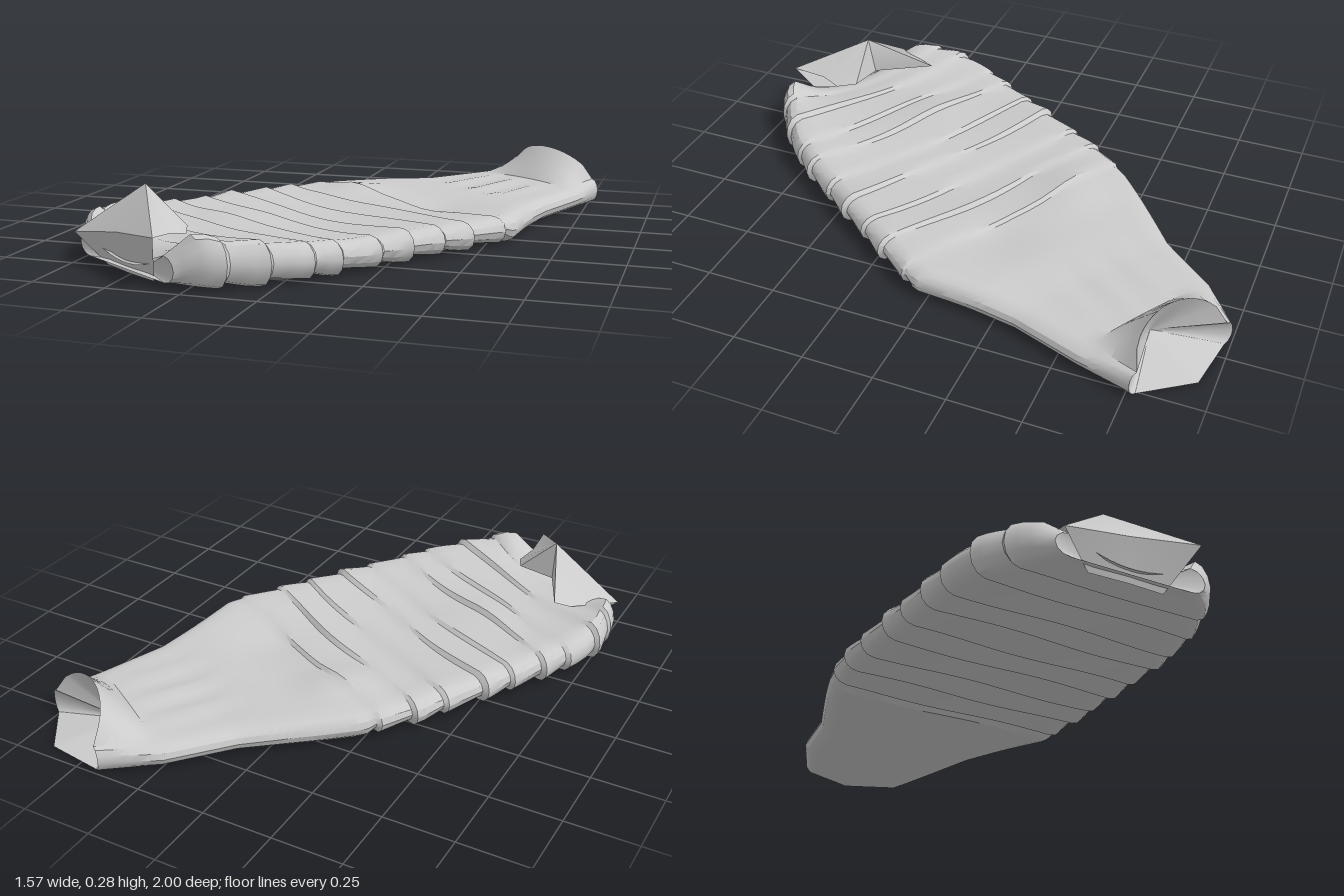
import * as THREE from 'three';
import { toCreasedNormals } from 'three/addons/utils/BufferGeometryUtils.js';

// The sack lies diagonally: t runs along it, v across it.
const place = (t, v, y) => [0.53 * t + 0.85 * v, Math.max(0, y), -0.85 * t + 0.53 * v];

// t, left edge, right edge, height near the edges, height in the middle
const KEYS = [
  [-0.98, -0.27, 0.29, 0.10, 0.04],
  [-0.92, -0.335, 0.365, 0.15, 0.085],
  [-0.80, -0.41, 0.42, 0.14, 0.105],
  [-0.68, -0.45, 0.47, 0.125, 0.10],
  [-0.40, -0.46, 0.50, 0.105, 0.085],
  [0.00, -0.47, 0.52, 0.095, 0.075],
  [0.25, -0.445, 0.53, 0.095, 0.08],
  [0.45, -0.37, 0.44, 0.09, 0.085],
  [0.62, -0.306, 0.37, 0.08, 0.08],
  [0.87, -0.265, 0.315, 0.08, 0.09],
  [1.14, -0.18, 0.26, 0.09, 0.21],
];

function sample(t) {
  let i = 0;
  while (i < KEYS.length - 2 && t > KEYS[i + 1][0]) i++;
  const a = KEYS[i], b = KEYS[i + 1];
  const f = THREE.MathUtils.clamp((t - a[0]) / (b[0] - a[0]), 0, 1);
  return a.map((n, k) => n + (b[k] - n) * f);
}

// Soft dents and folds of the upper cloth
const bump = (t, v, t0, v0, size) => Math.exp(-(((t - t0) / size) ** 2) - ((v - v0) / size) ** 2);
function folds(t, v) {
  const pleats = t > 0.5 && t < 0.87 ? 0.007 * Math.sin(v * 45) * Math.sin((t - 0.5) / 0.37 * Math.PI) : 0;
  return 0.045 * bump(t, v, 0.2, -0.25, 0.13) - 0.02 * bump(t, v, 0.25, 0.18, 0.13)
    + 0.014 * bump(t, v, -0.5, -0.1, 0.15) + pleats;
}

// One closed cross-section: top, rounded edge, bottom, rounded edge
function section(t, puff) {
  const [, l, r, side, mid] = sample(t);
  const N = 16, A = 6, pts = [];
  const tail = THREE.MathUtils.clamp((t - 0.87) / 0.27, 0, 1);
  const R = 0.055 - 0.025 * tail;
  const left = l - puff + R, right = r + puff - R;
  const add = (s, v, y) => {
    const height = THREE.MathUtils.lerp(0.09, 0.21, tail);
    const lean = 0.16 * tail * Math.max(Math.min(1, y / height), Math.abs(s) * 0.5);
    const slant = Math.max(0, Math.min(1, (0.5 - t) * 4, (t + 0.97) * 4));
    pts.push(place(t - lean + slant * (0.04 * v + 0.008 * Math.sin(v * 9 + t * 13)), v, y));
  };
  const floor = t < 0.21 ? Math.max(0, 0.02 - puff * 1.5) : 0;
  const roof = (s, v) => {
    const arch = THREE.MathUtils.lerp(1 - s * s, Math.sqrt(1 - s * s), tail);
    const ripple = puff * (0.7 + 0.3 * Math.sin(v * 7 + t * 9));
    return side + (mid - side) * arch + ripple + folds(t, v) * (1 - s * s)
      + 0.03 * bump(t, v, -0.93, 0.31, 0.07);
  };
  for (let i = 0; i <= N; i++) {
    const s = i / N * 2 - 1, v = left + (right - left) * i / N;
    add(s, v, roof(s, v));
  }
  const edge = (s, v) => {
    const half = (roof(s, v) - floor) / 2;
    for (let i = 1; i < A; i++) {
      const a = i / A * Math.PI;
      add(s, v + s * R * Math.sin(a), floor + half * (1 + s * Math.cos(a)));
    }
  };
  edge(1, right);
  for (let i = N; i >= 0; i--) add(i / N * 2 - 1, left + (right - left) * i / N, floor);
  edge(-1, left);
  return pts;
}

// Draws a ring of points in towards one point
const shrink = (ring, to, f) => ring.map(p => p.map((n, k) => n + (to[k] - n) * f));

function loft(rings) {
  const n = rings[0].length, index = [];
  for (let i = 0; i < rings.length - 1; i++) {
    for (let j = 0; j < n; j++) {
      const a = i * n + j, b = i * n + (j + 1) % n;
      index.push(a, b, a + n, b, b + n, a + n);
    }
  }
  return build(rings.flat(), index, 0.55);
}

function build(points, index, crease) {
  const g = new THREE.BufferGeometry();
  g.setAttribute('position', new THREE.Float32BufferAttribute(points.flat(), 3));
  g.setIndex(index);
  return toCreasedNormals(g, crease);
}

export function createModel() {
  const group = new THREE.Group();
  const material = new THREE.MeshStandardMaterial({ color: 0xcccccc, side: THREE.DoubleSide });
  const part = (name, geometry) => {
    const mesh = new THREE.Mesh(geometry, material);
    mesh.name = name;
    group.add(mesh);
  };

  // Wrapped body: uneven overlapping bands, each swelling and then stepping in
  const front = section(-0.98, 0);
  const rings = [shrink(front, place(-0.93, 0, 0.03), 1), front];
  const steps = [-0.96, -0.85, -0.74, -0.6, -0.49, -0.34, -0.22, -0.07, 0.06, 0.2];
  for (let k = 0; k < steps.length - 1; k++) {
    const length = steps[k + 1] - steps[k] - 0.014;
    const swell = k % 2 ? 0.016 : 0.011;
    for (let i = 0; i < 4; i++) rings.push(section(steps[k] + i / 3 * length, swell * i / 3));
  }
  // Smooth tail, flaring from a crease into the arched mouth
  for (let t = 0.2; t < 0.86; t += 0.03) rings.push(section(t, 0));
  for (let i = 0; i <= 6; i++) rings.push(section(0.87 + i * 0.045, 0));
  // Hollow inside of the mouth
  const mouth = section(1.14, 0);
  const inner = place(0.9, 0.03, 0.04);
  rings.push(...[0.06, 0.4, 0.7, 1].map(f => shrink(mouth, inner, f)));
  part('wrappedBody', loft(rings));

  // Peaked hood: a front sheet hung from the peak, with two folds behind
  const hood = [
    [-0.88, -0.016, 0.28], // 0 peak
    [-1.01, -0.256, 0.10], // 1 left corner
    [-1.025, 0.25, 0.17], // 2 right corner
    [-0.955, -0.14, 0], // 3 lip
    [-0.96, 0.0, 0], // 4 lip
    [-0.955, 0.14, 0], // 5 lip
    [-1.0, -0.005, 0.14], // 6 belly
    [-0.727, -0.22, 0.16], // 7 left fold tip
    [-0.79, -0.24, 0.135], // 8 left fold
    [-0.80, 0.098, 0.15], // 9 right fold tip
    [-0.844, 0.16, 0.14], // 10 right fold
    [-0.92, 0.18, 0.155], // 11 right fold
    [-0.86, -0.03, 0.14], // 12 under the peak
  ].map(p => place(...p));
  part('hood', build(hood, [
    0, 6, 1, 1, 6, 3, 3, 6, 4, 4, 6, 5, 5, 6, 2, 2, 6, 0,
    0, 1, 8, 0, 8, 7, 0, 7, 12,
    0, 9, 10, 0, 10, 11, 0, 11, 2, 0, 12, 9,
  ], 0.9));

  return group;
}
